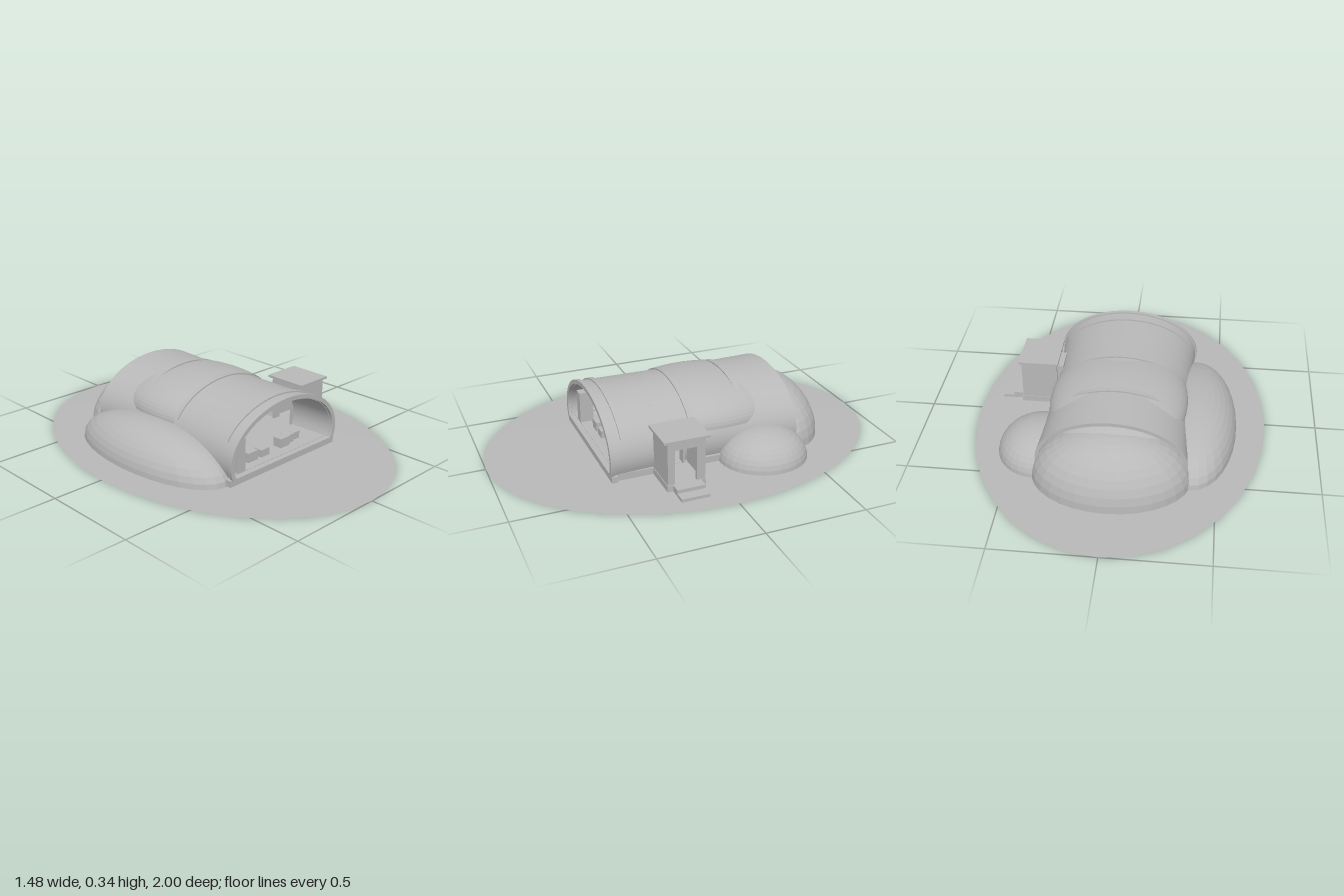
import * as THREE from 'three';
import { toCreasedNormals } from 'three/addons/utils/BufferGeometryUtils.js';

const clay = new THREE.MeshStandardMaterial({ color: 0xb8b8b8, side: THREE.DoubleSide });
clay.name = 'grey clay';

export function createModel() {
  const model = new THREE.Group();

  const add = (name, geometry, parent = model) => {
    const mesh = new THREE.Mesh(geometry, clay);
    mesh.name = name;
    parent.add(mesh);
    return mesh;
  };
  const group = (name) => {
    const g = new THREE.Group();
    g.name = name;
    model.add(g);
    return g;
  };
  // Box given by its limits on each axis
  const box = (name, x0, x1, y0, y1, z0, z1, parent) => {
    const mesh = add(name, new THREE.BoxGeometry(x1 - x0, y1 - y0, z1 - z0), parent);
    mesh.position.set((x0 + x1) / 2, (y0 + y1) / 2, (z0 + z1) / 2);
    return mesh;
  };
  // Hollow half ellipsoid with visible facets
  const dome = (name, centre, radii) => {
    const g = new THREE.SphereGeometry(1, 32, 10, 0, Math.PI * 2, 0, Math.PI / 2);
    g.scale(...radii);
    add(name, toCreasedNormals(g, 0.12)).position.set(...centre);
  };
  // Vault slice: elliptical arch from angle a0 to a1, slightly waisted along z
  const waist = (z) => 1 - 0.05 * (1 - (z / 0.49) ** 2);
  const arch = (name, z0, z1, a0, a1, grow, thick, parent) => {
    const n = 40;
    const points = [];
    const ring = (offset, from, to) => {
      for (let i = 0; i <= n; i++) {
        const a = from + ((to - from) * i) / n;
        points.push(new THREE.Vector2(
          (0.365 + offset) * Math.cos(a), 0.1 + (0.238 + offset) * Math.sin(a)));
      }
    };
    ring(grow, a0, a1);
    ring(grow - thick, a1, a0);
    const steps = Math.max(1, Math.round((z1 - z0) / 0.06));
    const g = new THREE.ExtrudeGeometry(new THREE.Shape(points),
      { depth: z1 - z0, steps, bevelEnabled: false });
    g.translate(0, 0, z0);
    const p = g.attributes.position;
    for (let i = 0; i < p.count; i++) p.setX(i, p.getX(i) * waist(p.getZ(i)));
    g.computeVertexNormals();
    add(name, toCreasedNormals(g, 0.5), parent);
  };

  // Oval ground, almost flat
  const groundGeometry = new THREE.LatheGeometry([
    new THREE.Vector2(0, 0), new THREE.Vector2(1, 0),
    new THREE.Vector2(0.85, 0.003), new THREE.Vector2(0, 0.006)], 32);
  groundGeometry.scale(0.74, 1, 1);
  add('ground', toCreasedNormals(groundGeometry, 0.5));

  // Floor of the hall
  box('floor', -0.35, 0.35, 0.004, 0.038, -0.49, 0.45);
  box('frontSill', -0.37, 0.365, 0.004, 0.036, 0.45, 0.48);

  // Vaulted shell, with a doorway on the left side
  const shell = group('shell');
  const low = -0.27, end = Math.PI - low, door = 0.42;
  arch('rearVault', -0.49, 0.12, low, end, 0, 0.018, shell);
  arch('doorVault', 0.12, 0.23, door, end, 0, 0.018, shell);
  arch('frontVault', 0.23, 0.47, low, end, 0, 0.018, shell);
  arch('frontRim', 0.465, 0.485, low, end, 0.007, 0.022, shell);
  for (const z of [-0.235, 0.055, 0.408])
    arch('rib', z - 0.013, z + 0.013, 0.44, Math.PI - 0.44, 0.007, 0.012, shell);

  // Earth mounds and rear dome
  dome('rightMound', [-0.38, 0, -0.04], [0.217, 0.186, 0.5]);
  dome('leftMound', [0.37, 0, -0.3], [0.21, 0.155, 0.227]);
  dome('rearDome', [0, 0, -0.47], [0.387, 0.275, 0.265]);

  // Ceiling vault that swells through the shell, open towards the front
  const ceiling = new THREE.SphereGeometry(1, 32, 16, 0, Math.PI, 0, Math.PI * 0.6);
  ceiling.rotateX(-Math.PI / 2);
  const cp = ceiling.attributes.position;
  for (let i = 0; i < cp.count; i++) {
    cp.setXYZ(i, cp.getX(i) * 0.345, Math.abs(cp.getY(i)) * 0.168, cp.getZ(i) * 0.48);
  }
  ceiling.computeVertexNormals();
  add('ceilingDome', toCreasedNormals(ceiling, 0.12)).position.set(0, 0.175, -0.1);

  // Glazed door frame at the back of the hall
  const frame = group('doorFrame');
  for (const x of [-0.07, -0.035, 0.035, 0.07])
    box('mullion', x - 0.004, x + 0.004, 0.038, 0.174, -0.17, -0.16, frame);
  for (const y of [0.05, 0.105, 0.17])
    box('rail', -0.074, 0.074, y - 0.003, y + 0.003, -0.17, -0.16, frame);

  // Shelving on the right wall and pillar on the left
  const shelves = group('shelving');
  box('cabinet', -0.292, -0.242, 0.038, 0.203, 0.38, 0.45, shelves);
  box('endPost', -0.292, -0.242, 0.038, 0.203, 0.14, 0.16, shelves);
  for (const y of [0.09, 0.14, 0.19])
    box('shelf', -0.292, -0.242, y, y + 0.008, 0.16, 0.38, shelves);
  box('pillar', 0.253, 0.297, 0.038, 0.175, 0.0, 0.05);

  // Seats and tables
  const furniture = group('furniture');
  for (const [x0, x1, top, z] of [
    [-0.175, -0.108, 0.086, 0.38], [-0.086, -0.028, 0.076, 0.38],
    [0.06, 0.125, 0.086, 0.375], [0.125, 0.172, 0.08, 0.36], [0.18, 0.225, 0.076, 0.35]])
    box('seat', x0, x1, 0.038, top, z - 0.025, z + 0.025, furniture);

  // Entrance porch with roof and steps
  const porch = group('porch');
  box('porchFloor', 0.35, 0.535, 0.004, 0.036, 0.075, 0.268, porch);
  box('frontWall', 0.345, 0.53, 0.036, 0.25, 0.25, 0.265, porch);
  box('rearWall', 0.345, 0.53, 0.036, 0.25, 0.078, 0.093, porch);
  box('frontPost', 0.515, 0.53, 0.036, 0.25, 0.23, 0.25, porch);
  box('rearPost', 0.515, 0.53, 0.036, 0.25, 0.093, 0.12, porch);
  box('lintel', 0.515, 0.53, 0.21, 0.25, 0.12, 0.23, porch);
  box('doorHead', 0.315, 0.36, 0.2, 0.215, 0.11, 0.24, porch);
  for (const z of [0.11, 0.23])
    box('doorJamb', 0.315, 0.36, 0.036, 0.2, z, z + 0.01, porch);
  box('roof', 0.335, 0.538, 0.25, 0.262, 0.055, 0.285, porch);
  box('upperStep', 0.535, 0.585, 0.004, 0.036, 0.1, 0.24, porch);
  box('lowerStep', 0.585, 0.64, 0.002, 0.018, 0.1, 0.24, porch);

  return model;
}
